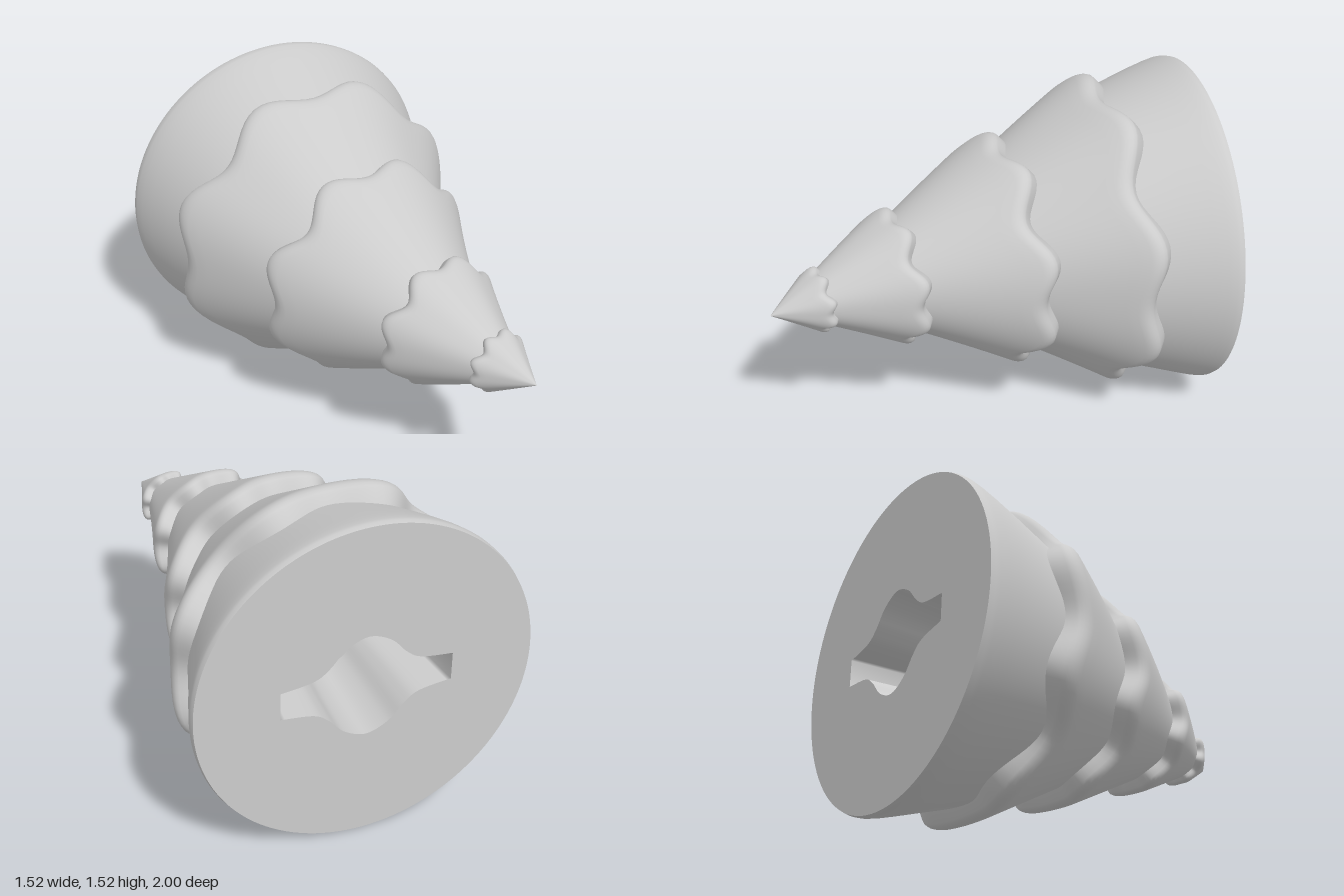
import * as THREE from 'three';

const MID = 0.76;   // height of the axis at the base
const SEG = 128;

// Closed rings of points (front to back) skinned into one smooth surface
function loft(rings) {
  const n = rings[0].length, pos = [], idx = [];
  rings.forEach(r => r.forEach(p => pos.push(...p)));
  for (let i = 0; i < rings.length - 1; i++) {
    for (let j = 0; j < n; j++) {
      const k = (j + 1) % n, a = i * n + j, b = i * n + k, c = a + n, d = b + n;
      idx.push(a, c, b, b, c, d);
    }
  }
  const g = new THREE.BufferGeometry();
  g.setAttribute('position', new THREE.Float32BufferAttribute(pos, 3));
  g.setIndex(idx);
  g.computeVertexNormals();
  return g;
}

// The axis curves towards +x at the tip; each section stays square to it
function bend(x, y, z) {
  const t = (z + 1) / 2;
  return [x + 0.335 * t * t, y + MID, z - 0.335 * t * x];
}

// Eight lobes, with the diagonal notches deeper
const lobes = a => 0.3 * Math.cos(4 * a) - 0.7 * Math.cos(8 * a);

// profile rows: [z, radius, share of the wave]
function skirt(profile, wave = 0, run = 0) {
  return loft(profile.map(([z, r, share]) => {
    const ring = [];
    for (let j = 0; j < SEG; j++) {
      const a = j / SEG * Math.PI * 2, w = lobes(a) * wave * share;
      ring.push(bend((r + w) * Math.cos(a), (r + w) * Math.sin(a), z - w * run));
    }
    return ring;
  }));
}

// Cone from (z0, r0) to a rounded, wavy rim at (z1, r1) that turns inwards
function tier({ z0, r0, z1, r1, h, wave, run }) {
  const rows = [], ze = z1 + 0.9 * h, re = r1 - 0.3 * h;
  for (let i = 0; i <= 10; i++) {
    const t = i / 10;
    rows.push([z0 + (ze - z0) * t, r0 + (re - r0) * t, t]);
  }
  [[0.4, 0.09], [0, 0], [-0.4, 0], [-0.8, 0.12], [-1.05, 0.35], [-1.8, 1.25], [-2.4, 2.4]]
    .forEach(([dz, dr]) => rows.push([z1 + dz * h, r1 - dr * h, 1]));
  return skirt(rows, wave, run);
}

export function createModel() {
  const group = new THREE.Group();
  const material = new THREE.MeshStandardMaterial({ color: 0xcccccc });
  const inside = new THREE.MeshStandardMaterial({ color: 0xcccccc, side: THREE.DoubleSide });
  const add = (name, geometry, mat = material) => {
    const mesh = new THREE.Mesh(geometry, mat);
    mesh.name = name;
    group.add(mesh);
    return mesh;
  };

  // Overlapping tiers, tip first
  [
    { z0: 1, r0: 0, z1: 0.79, r1: 0.139, h: 0.02, wave: 0.012, run: 1.2 },
    { z0: 0.86, r0: 0.065, z1: 0.44, r1: 0.298, h: 0.03, wave: 0.02, run: 1.5 },
    { z0: 0.5, r0: 0.19, z1: -0.07, r1: 0.517, h: 0.042, wave: 0.03, run: 1.6 },
    { z0: 0, r0: 0.375, z1: -0.54, r1: 0.7, h: 0.045, wave: 0.038, run: 1.3 },
  ].forEach((t, i) => add(i ? 'tier' + (i + 1) : 'tip', tier(t)));

  // Plain bottom tier
  add('baseTier', skirt([
    [-0.45, 0.59, 0], [-0.6, 0.64, 0], [-0.75, 0.692, 0], [-0.86, 0.73, 0],
    [-0.92, 0.749, 0], [-0.96, 0.759, 0], [-0.98, 0.76, 0], [-1, 0.755, 0],
  ]));

  // Outline of the socket: a slot swelling in the middle
  const half = [[0.385, 0.065], [0.24, 0.085], [0.17, 0.13], [0.1, 0.205], [0, 0.245],
    [-0.1, 0.205], [-0.17, 0.13], [-0.24, 0.085], [-0.385, 0.065]]
    .map(([x, y]) => new THREE.Vector2(x, y));
  const upper = new THREE.SplineCurve(half).getPoints(40);
  const outline = [...upper, ...upper.map(p => new THREE.Vector2(-p.x, -p.y))];

  // Flat back face with the socket opening
  const disc = new THREE.Shape();
  disc.absarc(0, 0, 0.755, 0, Math.PI * 2);
  disc.holes.push(new THREE.Path(outline));
  const back = add('backFace', new THREE.ShapeGeometry(disc, SEG / 2));
  back.rotation.y = Math.PI;
  back.position.set(0, MID, -1);

  // Socket walls and floor
  const section = (z, s) => outline.map(p => [p.x * s, p.y * s + MID, z]);
  add('socketWall', loft([section(-1, 1), section(-0.8, 0.95), section(-0.55, 0.85)]), inside);
  const floor = add('socketFloor', new THREE.ShapeGeometry(new THREE.Shape(outline)), inside);
  floor.scale.set(0.85, 0.85, 1);
  floor.position.set(0, MID, -0.55);

  return group;
}
